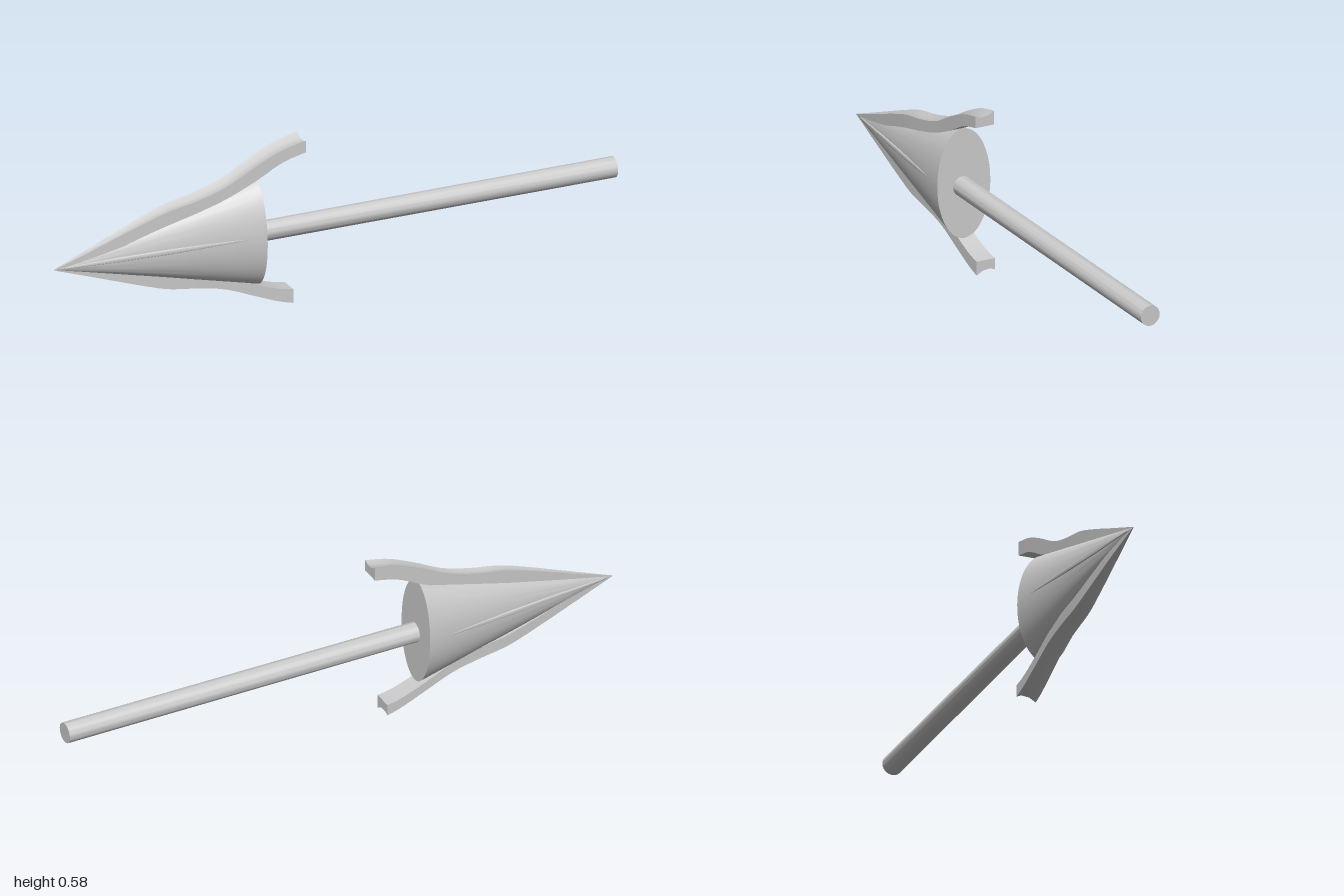
import * as THREE from 'three';
import { toCreasedNormals } from 'three/addons/utils/BufferGeometryUtils.js';

const material = new THREE.MeshStandardMaterial({ color: 0xcccccc });

// Skin a list of equal-length rings (counter-clockwise seen from +x) and cap the ends.
function loft(rings, crease) {
  const n = rings[0].length;
  const pos = rings.flat(2);
  const index = [];
  for (let i = 0; i < rings.length - 1; i++) {
    for (let j = 0; j < n; j++) {
      const k = (j + 1) % n;
      const a = i * n + j, b = i * n + k, c = b + n, d = a + n;
      index.push(a, b, c, a, c, d);
    }
  }
  for (const [ring, end] of [[0, false], [rings.length - 1, true]]) {
    const centre = pos.length / 3;
    for (let k = 0; k < 3; k++) pos.push(rings[ring].reduce((s, p) => s + p[k], 0) / n);
    for (let j = 0; j < n; j++) {
      const a = ring * n + j, b = ring * n + (j + 1) % n;
      index.push(centre, ...(end ? [a, b] : [b, a]));
    }
  }
  const g = new THREE.BufferGeometry();
  g.setAttribute('position', new THREE.Float32BufferAttribute(pos, 3));
  g.setIndex(index);
  return toCreasedNormals(g, crease);
}

function ellipse(x, y, z, ry, rz, sides, slant = 0) {
  return Array.from({ length: sides }, (_, j) => {
    const a = (j / sides) * Math.PI * 2;
    return [x - slant * Math.cos(a), y + ry * Math.cos(a), z + rz * Math.sin(a)];
  });
}

// Barb stations: x, outer height, inner height (from the tip axis), half width.
function barb(stations, s) {
  const curve = new THREE.CatmullRomCurve3(stations.map(p => new THREE.Vector3(p[0], p[1], p[2])));
  const widths = new THREE.CatmullRomCurve3(stations.map(p => new THREE.Vector3(p[3], 0, p[0])));
  const rings = [];
  const steps = 28;
  for (let i = 0; i <= steps; i++) {
    const p = curve.getPoint(i / steps);
    const w = widths.getPoint(i / steps).x;
    const zc = 0.33 * w;                       // the barb sits a little off centre
    const dip = 0.3 * w;                       // hollow outer face
    const section = [
      [p.y + 0.1 * w, -w], [p.y - dip, -0.3 * w], [p.y - dip * 1.2, 0.5 * w], [p.y - 0.15 * w, w],
      [p.z, w], [p.z, -w],
    ];
    rings.push(section.map(([h, z]) => [p.x, 0.26 + s * h, s * (z + zc)]));
  }
  return loft(rings, 0.6);
}

export function createModel() {
  const group = new THREE.Group();
  const add = (name, geometry) => {
    const mesh = new THREE.Mesh(geometry, material);
    mesh.name = name;
    group.add(mesh);
    return mesh;
  };

  // Flattened conical head
  add('head', loft([0.002, 0.25, 0.5, 0.75, 1].map(t =>
    ellipse(-1 + 0.72 * t, 0.26 + 0.014 * t, 0, 0.189 * t, 0.098 * t, 64, 0.005 * t)), 0.6));

  // Faint ridges along both flat sides of the head
  for (const s of [1, -1]) {
    add(s > 0 ? 'leftRidge' : 'rightRidge', loft([0.05, 0.3, 0.55, 0.8, 0.99].map(t => {
      const bulge = Math.sin(Math.PI * t);
      return ellipse(-1 + 0.72 * t, 0.26 + 0.024 * t, s * 0.095 * t, 0.009 * bulge + 0.001, 0.006 * bulge + 0.001, 8);
    }), 0.6));
  }

  // Shaft, leaning very slightly sideways
  add('shaft', loft([
    ellipse(-0.32, 0.265, 0.005, 0.034, 0.034, 32),
    ellipse(1, 0.268, 0.015, 0.035, 0.035, 32),
  ], 0.6));

  // Curved barbs running from the tip and flaring behind the head
  add('upperBarb', barb([
    [-1, 0.001, -0.001, 0.001], [-0.85, 0.058, 0.02, 0.012], [-0.7, 0.116, 0.07, 0.021],
    [-0.6, 0.15, 0.1, 0.026], [-0.5, 0.17, 0.125, 0.028], [-0.4, 0.2, 0.155, 0.029],
    [-0.29, 0.257, 0.203, 0.031], [-0.2, 0.297, 0.25, 0.033], [-0.118, 0.317, 0.272, 0.034],
  ], 1));
  add('lowerBarb', barb([
    [-1, 0.001, -0.001, 0.001], [-0.85, 0.05, 0.02, 0.012], [-0.7, 0.1, 0.06, 0.021],
    [-0.6, 0.13, 0.085, 0.026], [-0.5, 0.145, 0.1, 0.028], [-0.4, 0.165, 0.125, 0.029],
    [-0.29, 0.208, 0.17, 0.031], [-0.2, 0.243, 0.202, 0.033], [-0.152, 0.256, 0.211, 0.034],
  ], -1));

  return group;
}
